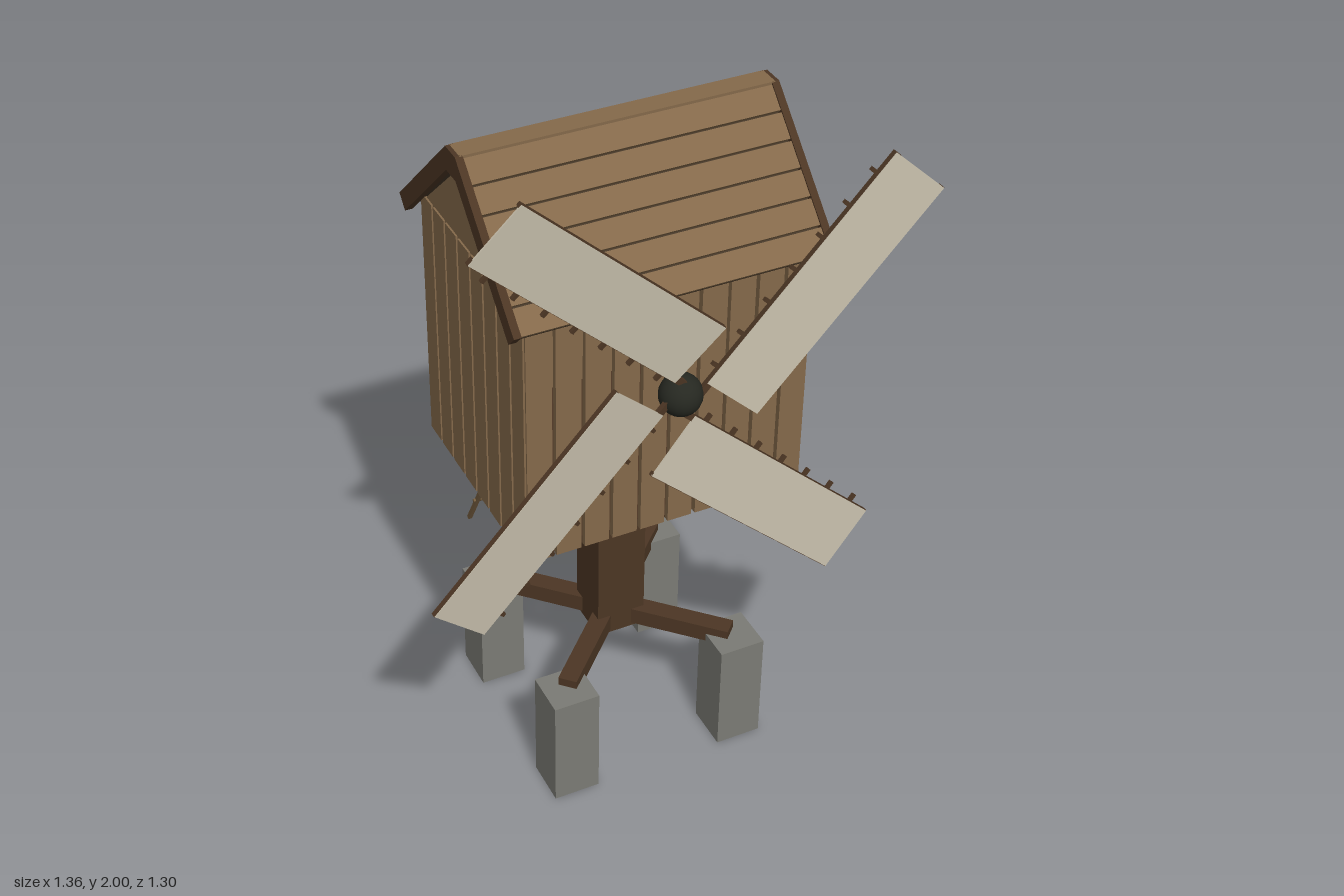
import * as THREE from 'three';

const mat = (name, color, extra = {}) => {
  const m = new THREE.MeshStandardMaterial({ color, ...extra });
  m.name = name;
  return m;
};

export function createModel() {
  const wood = mat('plank wood', 0x84694a);
  const dark = mat('dark timber', 0x4c3624);
  const roofUnder = mat('roof lining', 0x453728);
  const canvas = mat('sail canvas', 0xc6beab);
  const stone = mat('stone', 0x7b7b75);
  const iron = mat('iron hub', 0x262821);
  const ladderWood = mat('ladder wood', 0x745c3e);

  const model = new THREE.Group();
  model.name = 'postMill';
  const CZ = 0.225; // centre of the house in z

  const group = (name, parent = model) => {
    const g = new THREE.Group();
    g.name = name;
    parent.add(g);
    return g;
  };
  // box given by its min and max corners
  const box = (parent, name, m, x0, x1, y0, y1, z0, z1) => {
    const mesh = new THREE.Mesh(new THREE.BoxGeometry(x1 - x0, y1 - y0, z1 - z0), m);
    mesh.position.set((x0 + x1) / 2, (y0 + y1) / 2, (z0 + z1) / 2);
    mesh.name = name;
    parent.add(mesh);
    return mesh;
  };

  // Stone piers and diagonal cross beams
  const base = group('base');
  for (const sx of [-1, 1]) for (const sz of [-1, 1]) {
    const x = sx * 0.25, z = CZ + sz * 0.25;
    box(base, 'pier', stone, x - 0.065, x + 0.065, 0, 0.335, z - 0.065, z + 0.065);
    const beam = group('crossBeam', base);
    beam.position.set(0, 0, CZ);
    beam.rotation.y = Math.atan2(sx, sz);
    box(beam, 'beam', dark, -0.026, 0.026, 0.31, 0.36, 0, 0.35);
  }
  box(base, 'post', dark, -0.07, 0.07, 0.3, 0.885, CZ - 0.068, CZ + 0.068);

  // House: floor and vertical planks with open gaps
  const house = group('house');
  box(house, 'floor', dark, -0.375, 0.375, 0.876, 0.9, CZ - 0.3, CZ + 0.3);
  const W = 0.39, D = 0.315, T = 0.015, GAP = 0.01;
  for (const s of [-1, 1]) {
    const px = (2 * W) / 10, pz = (2 * D) / 8;
    for (let i = 0; i < 10; i++) {
      const x = -W + i * px, z = CZ + s * (D - T / 2);
      box(house, 'wallPlank', wood, x + GAP / 2, x + px - GAP / 2, 0.875, 1.58, z - T / 2, z + T / 2);
    }
    for (let i = 0; i < 8; i++) {
      const z = CZ - D + i * pz, x = s * (W - T / 2);
      box(house, 'sidePlank', wood, x - T / 2, x + T / 2, 0.875, 1.615, z + GAP / 2, z + pz - GAP / 2);
    }
    // Triangular gable board
    const tri = new THREE.Shape([
      new THREE.Vector2(-0.3, 1.6), new THREE.Vector2(0.3, 1.6), new THREE.Vector2(0, 1.875)]);
    const gable = new THREE.Mesh(new THREE.ExtrudeGeometry(tri, { depth: T, bevelEnabled: false }), wood);
    gable.name = 'gable';
    gable.rotation.y = Math.PI / 2;
    gable.position.set(s * 0.3775 - T / 2, 0, CZ);
    house.add(gable);
  }

  // Roof: two planked slopes with barge boards and a ridge cap
  const roof = group('roof');
  const LEN = 0.449;
  for (const turn of [0, Math.PI]) {
    const side = group('roofSide', roof);
    side.position.set(0, 1.91, CZ);
    side.rotation.y = turn;
    const slope = group('slope', side);
    slope.position.z = 0.03;
    slope.rotation.x = Math.atan2(0.31, 0.325);
    box(slope, 'roofLining', roofUnder, -0.41, 0.41, -0.036, -0.02, 0, LEN - 0.004);
    const step = LEN / 6;
    for (let i = 0; i < 6; i++)
      box(slope, 'roofPlank', wood, -0.41, 0.41, -0.021, -0.004, i * step + 0.003, (i + 1) * step - 0.003);
    for (const s of [-1, 1])
      box(slope, 'bargeBoard', dark, s * 0.42 - 0.01, s * 0.42 + 0.01, -0.048, 0, -0.002, LEN);
  }
  box(roof, 'ridgeCap', wood, -0.419, 0.419, 1.885, 1.911, CZ - 0.031, CZ + 0.031);
  for (const s of [-1, 1])
    box(roof, 'bargePeak', dark, s * 0.42 - 0.01, s * 0.42 + 0.01, 1.845, 1.91, CZ - 0.03, CZ + 0.03);

  // Hub and four sails
  const rotor = group('rotor');
  rotor.position.set(0, 1.32, 0);
  const hub = new THREE.Mesh(new THREE.SphereGeometry(0.056, 20, 14), iron);
  hub.name = 'hub';
  hub.position.z = 0.597;
  rotor.add(hub);
  for (let k = 0; k < 4; k++) {
    const arm = group('sail', rotor);
    arm.position.z = 0.612;
    arm.rotation.z = THREE.MathUtils.degToRad(-42.7 + 90 * k);
    const pitch = group('pitchedSail', arm);
    pitch.rotation.y = -0.09;
    box(pitch, 'stock', dark, 0.023, 0.041, 0, 0.777, -0.008, 0.006);
    box(pitch, 'outerRail', dark, 0.198, 0.209, 0.062, 0.777, -0.007, 0.006);
    box(pitch, 'sailCloth', canvas, 0.0245, 0.2075, 0.062, 0.776, 0.003, 0.008);
    for (let i = 0; i < 7; i++) {
      const y = 0.11 + i * 0.1;
      box(pitch, 'sailBar', dark, 0.003, 0.115, y - 0.005, y + 0.005, -0.008, 0.002);
    }
  }

  // Ladder leaning on the back wall
  const ladder = group('ladder');
  const top = new THREE.Vector3(0, 0.96, -0.107), foot = new THREE.Vector3(0, 0.02, -0.643);
  const run = top.distanceTo(foot);
  ladder.position.copy(foot);
  ladder.rotation.x = Math.atan2(top.z - foot.z, top.y - foot.y);
  for (const s of [-1, 1])
    box(ladder, 'ladderRail', ladderWood, s * 0.067 - 0.006, s * 0.067 + 0.006, 0, run, -0.006, 0.006);
  for (let i = 0; i < 7; i++) {
    const y = 0.14 + i * 0.1555;
    box(ladder, 'rung', ladderWood, -0.08, 0.08, y - 0.005, y + 0.005, -0.005, 0.005);
  }

  return model;
}
